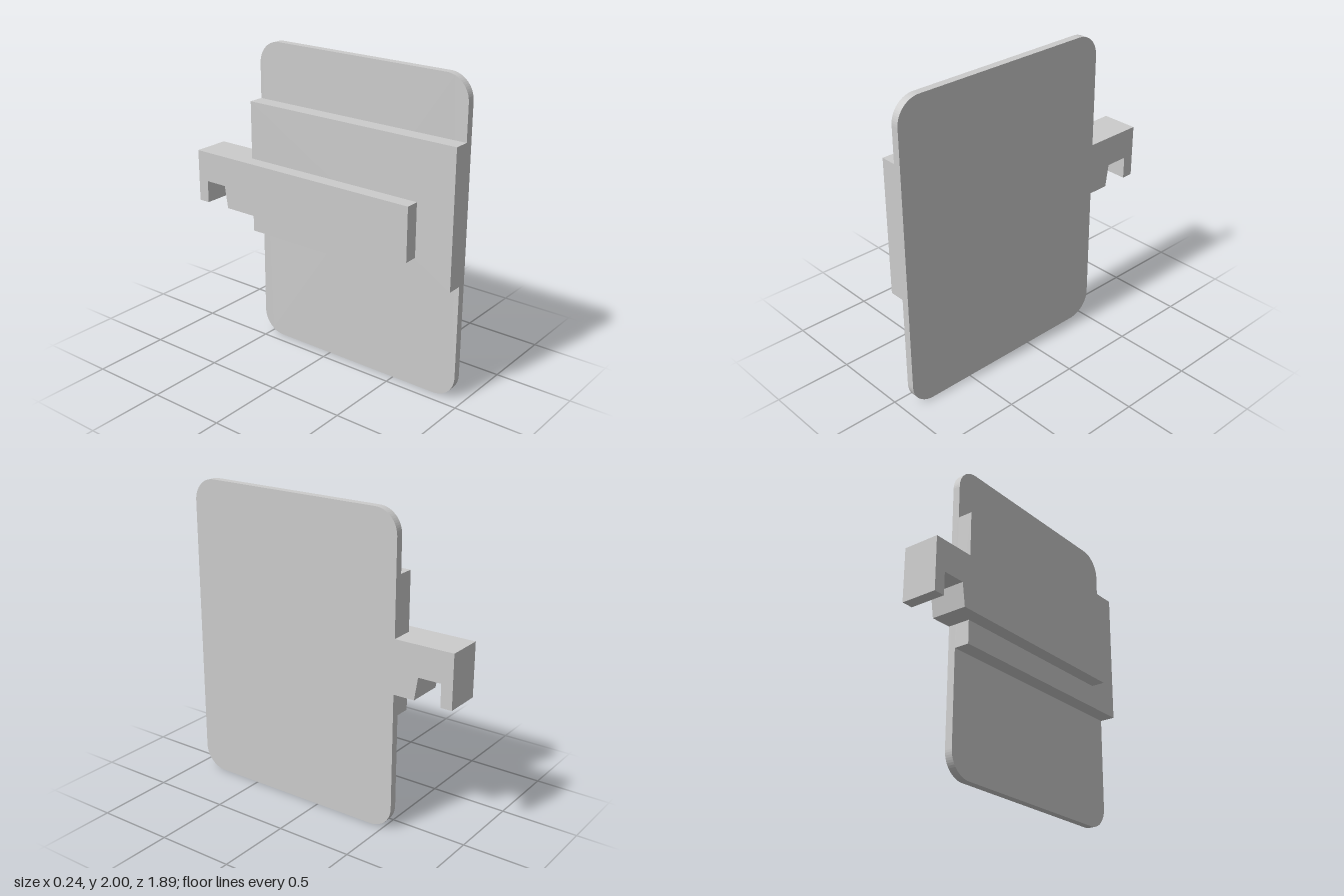
import * as THREE from 'three';

const material = new THREE.MeshStandardMaterial({ color: 0xcccccc, flatShading: true });

// Extrudes a side profile, drawn with -z to the right and y up, from x0 to x1
function slab(name, shape, x0, x1) {
  const geometry = new THREE.ExtrudeGeometry(shape, { depth: x1 - x0, bevelEnabled: false, curveSegments: 8 });
  geometry.rotateY(Math.PI / 2).translate(x0, 0, 0);
  const mesh = new THREE.Mesh(geometry, material);
  mesh.name = name;
  return mesh;
}

function polygon(points) {
  return new THREE.Shape(points.map(([u, y]) => new THREE.Vector2(u, y)));
}

function rectangle(u0, u1, y0, y1) {
  return polygon([[u0, y0], [u1, y0], [u1, y1], [u0, y1]]);
}

function roundedRectangle(u0, u1, y0, y1, r) {
  const s = new THREE.Shape();
  s.absarc(u1 - r, y0 + r, r, -Math.PI / 2, 0);
  s.absarc(u1 - r, y1 - r, r, 0, Math.PI / 2);
  s.absarc(u0 + r, y1 - r, r, Math.PI / 2, Math.PI);
  s.absarc(u0 + r, y0 + r, r, Math.PI, Math.PI * 1.5);
  s.closePath();
  return s;
}

export function createModel() {
  const group = new THREE.Group();
  group.name = 'hookedPlate';
  const front = -0.945, back = 0.555, tip = 0.945;

  // Thin plate with rounded corners
  group.add(slab('plate', roundedRectangle(front, back, 0, 2, 0.15), 0.07, 0.12));

  // Thick backing block behind the plate
  group.add(slab('backingBlock', rectangle(front, back, 0.755, 1.625), -0.03, 0.07));

  // Rail along the backing block, stopping short of the front edge
  group.add(slab('rail', rectangle(-0.7, back, 0.905, 1.25), -0.12, -0.03));

  // Full-width arm with a notch underneath that forms the hook
  const hook = polygon([
    [back, 0.905], [0.695, 0.905], [0.718, 1.052], [0.87, 1.052],
    [0.87, 0.905], [tip, 0.905], [tip, 1.25], [back, 1.25],
  ]);
  group.add(slab('hookArm', hook, -0.12, 0.12));

  return group;
}
